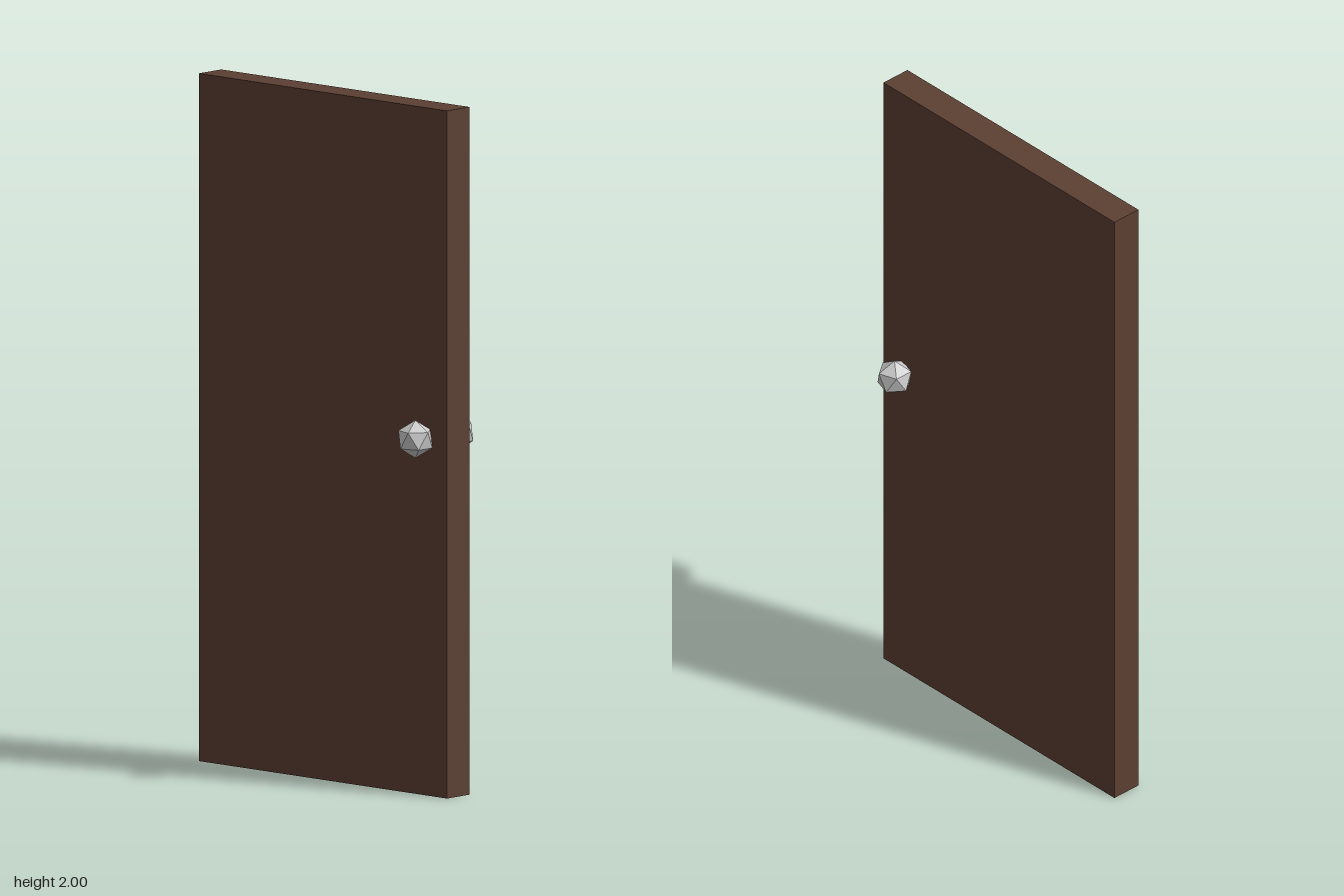
import * as THREE from 'three';

export function createModel() {
  const model = new THREE.Group();
  model.name = 'door';

  const wood = new THREE.MeshStandardMaterial({ color: 0x5c4033 });
  const metal = new THREE.MeshStandardMaterial({ color: 0xcccccc, flatShading: true });

  // Door slab
  const slab = new THREE.Mesh(new THREE.BoxGeometry(0.972, 2, 0.094), wood);
  slab.name = 'doorSlab';
  slab.position.y = 1;
  model.add(slab);

  // Faceted knobs, turned so that one corner points straight up
  const golden = (1 + Math.sqrt(5)) / 2;
  const knobGeometry = new THREE.IcosahedronGeometry(0.055, 0).rotateZ(-Math.atan(1 / golden));
  for (const [name, side] of [['frontKnob', 1], ['backKnob', -1]]) {
    const knob = new THREE.Mesh(knobGeometry, metal);
    knob.name = name;
    knob.position.set(0.398, 1.04, side * 0.086);
    model.add(knob);
  }

  return model;
}
